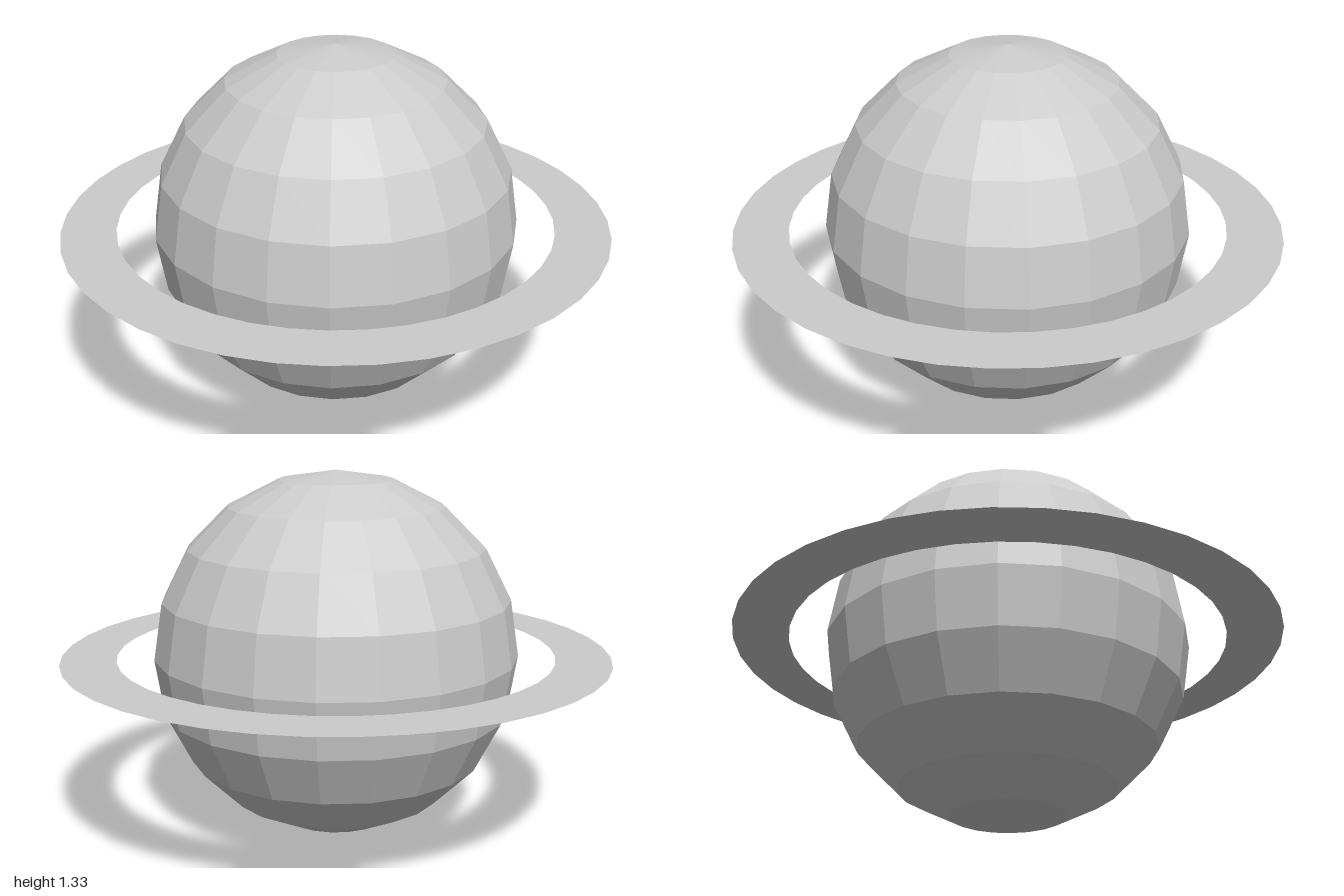
import * as THREE from 'three';

const RADIUS = 2 / 3;

export function createModel() {
  const model = new THREE.Group();
  model.name = 'ringedPlanet';

  // Faceted globe resting on the ground
  const globe = new THREE.Mesh(
    new THREE.SphereGeometry(RADIUS, 20, 10),
    new THREE.MeshStandardMaterial({ color: 0xcccccc, flatShading: true })
  );
  globe.name = 'globe';
  globe.position.y = RADIUS;
  model.add(globe);

  // Thin flat ring around the equator, visible from both sides
  const ring = new THREE.Mesh(
    new THREE.RingGeometry(0.8, 1, 40).rotateX(-Math.PI / 2),
    new THREE.MeshStandardMaterial({ color: 0xcccccc, side: THREE.DoubleSide })
  );
  ring.name = 'ring';
  ring.position.y = RADIUS;
  model.add(ring);

  return model;
}
